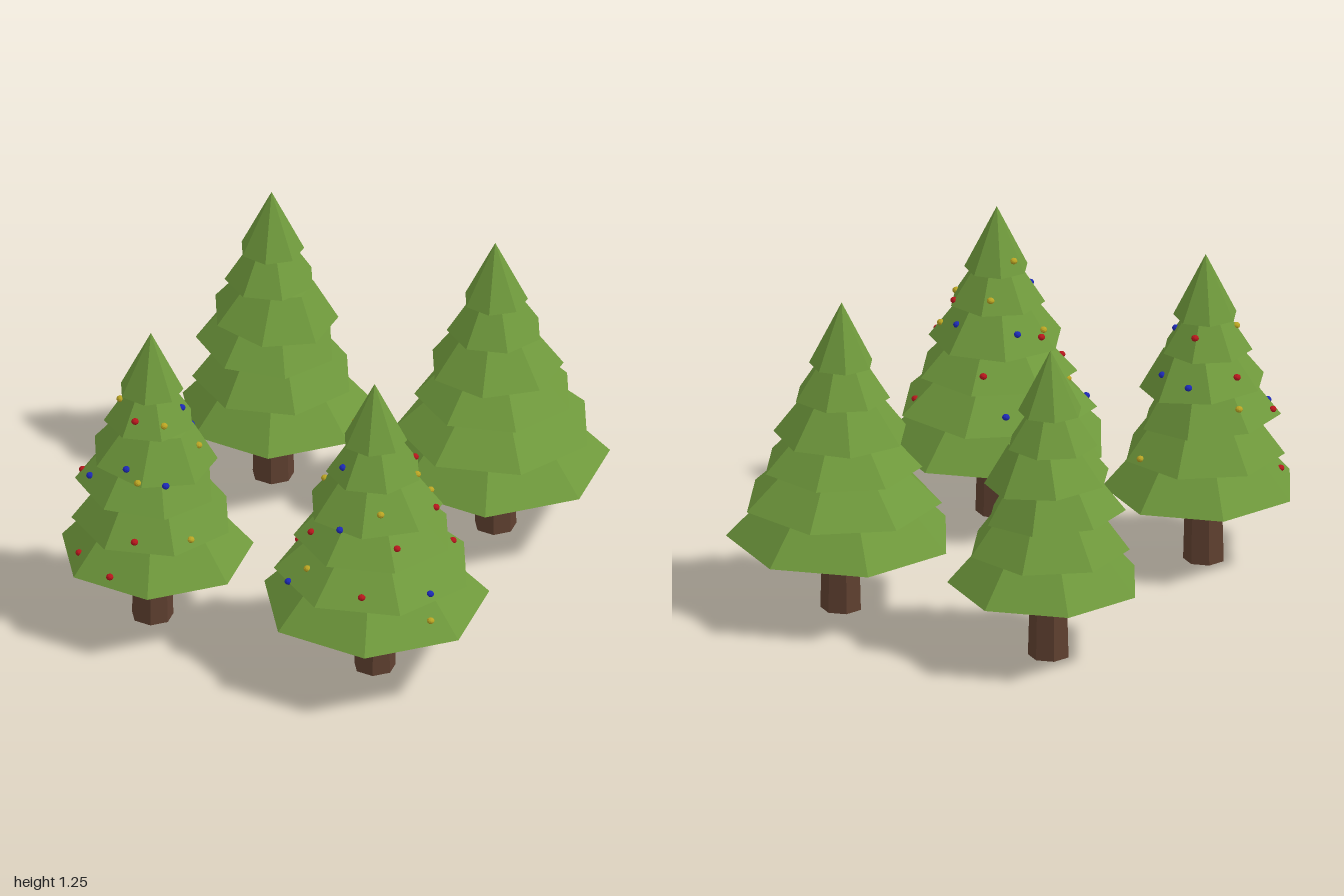
import * as THREE from 'three';

const mat = (color) => new THREE.MeshStandardMaterial({ color, flatShading: true });
const green = mat(0x6f993c), brown = mat(0x5f4030);
const red = mat(0xb5161c), blue = mat(0x1c28b4), yellow = mat(0xb9a322);

// Base heights of the six tiers, the tip, and each tier's turn in degrees
const LEVELS = [0.293, 0.44, 0.585, 0.711, 0.864, 0.997, 1.247];
const TURNS = [18.8, 38.6, 38.6, 12.9, 38.6, 12.9];

// Per tier: [base radius, top radius, x offset, tilt]
const WIDE = [
  [0.44, 0.30, 0, 0], [0.383, 0.23, 0, 0], [0.308, 0.19, 0, 0],
  [0.26, 0.145, 0, 0], [0.185, 0.098, 0, 0], [0.124, 0, 0, 0],
];
const NARROW = [
  [0.375, 0.25, 0.015, 0], [0.312, 0.205, 0.005, 0], [0.272, 0.185, -0.025, -0.088],
  [0.245, 0.14, 0.005, -0.095], [0.175, 0.09, -0.01, 0], [0.124, 0, -0.006, 0],
];

// Baubles by position seen from above, [x, z] in the standing place of each front tree
const WIDE_BAUBLES = [
  [red, [[0.095, 0.52], [0.354, 0.344], [0.66, 0.35], [0.66, 0.51], [0.545, 0.445], [0.222, 0.55],
    [0.238, 0.725], [0.51, 0.868], [0.60, 0.74]]],
  [blue, [[0.254, 0.344], [0.28, 0.47], [0.513, 0.413], [0.35, 0.68], [0.18, 0.81], [0.39, 0.80], [0.725, 0.71]]],
  [yellow, [[0.10, 0.466], [0.38, 0.44], [0.62, 0.47], [0.228, 0.575], [0.345, 0.55], [0.60, 0.55],
    [0.25, 0.79], [0.53, 0.735], [0.74, 0.74]]],
];
const NARROW_BAUBLES = [
  [red, [[-0.66, 0.53], [-0.52, 0.455], [-0.505, 0.70], [-0.70, 0.783], [-0.45, 0.83], [-0.53, 0.88], [-0.74, 0.66]]],
  [blue, [[-0.53, 0.39], [-0.397, 0.418], [-0.38, 0.545], [-0.688, 0.709], [-0.51, 0.77], [-0.356, 0.75]]],
  [yellow, [[-0.70, 0.48], [-0.354, 0.328], [-0.31, 0.545], [-0.60, 0.624], [-0.40, 0.667], [-0.45, 0.80], [-0.265, 0.72]]],
];

function makeTree(name, x, z, tiers) {
  const tree = new THREE.Group();
  tree.name = name;
  tree.position.set(x, 0, z);

  const trunk = new THREE.Mesh(
    new THREE.CylinderGeometry(0.072, 0.081, 0.32, 7, 1, false, THREE.MathUtils.degToRad(18.8)), brown);
  trunk.name = 'trunk';
  trunk.position.y = 0.16;
  tree.add(trunk);

  tiers.forEach(([base, top, dx, tilt], i) => {
    const height = LEVELS[i + 1] - LEVELS[i];
    const geo = new THREE.CylinderGeometry(top, base, height, 7, 1, false, THREE.MathUtils.degToRad(TURNS[i]));
    geo.translate(0, height / 2, 0);
    const tier = new THREE.Mesh(geo, green);
    tier.name = `branchTier${i + 1}`;
    tier.position.set(dx, LEVELS[i], 0);
    tier.rotation.z = tilt;
    tree.add(tier);
  });
  return tree;
}

// Drop each bauble from above until it rests on a branch tier
function decorate(tree, sets) {
  tree.updateMatrixWorld(true);
  const branches = tree.children.filter((c) => c.name.startsWith('branchTier'));
  const geo = new THREE.IcosahedronGeometry(0.015, 1);
  const ray = new THREE.Raycaster();
  const down = new THREE.Vector3(0, -1, 0);
  for (const [material, spots] of sets) {
    for (const [x, z] of spots) {
      ray.set(new THREE.Vector3(x, 2, z), down);
      const hit = ray.intersectObjects(branches)[0];
      if (!hit) continue;
      const bauble = new THREE.Mesh(geo, material);
      bauble.name = 'bauble';
      bauble.scale.y = 0.85;
      bauble.position.copy(hit.point).sub(tree.position);
      tree.add(bauble);
    }
  }
  return tree;
}

export function createModel() {
  const model = new THREE.Group();
  model.name = 'firTrees';
  const back = -0.563, front = 0.572;
  model.add(
    makeTree('plainWideTree', 0.433, back, WIDE),
    makeTree('plainNarrowTree', -0.49, back, NARROW),
    decorate(makeTree('decoratedWideTree', 0.433, front, WIDE), WIDE_BAUBLES),
    decorate(makeTree('decoratedNarrowTree', -0.49, front, NARROW), NARROW_BAUBLES),
  );
  return model;
}
